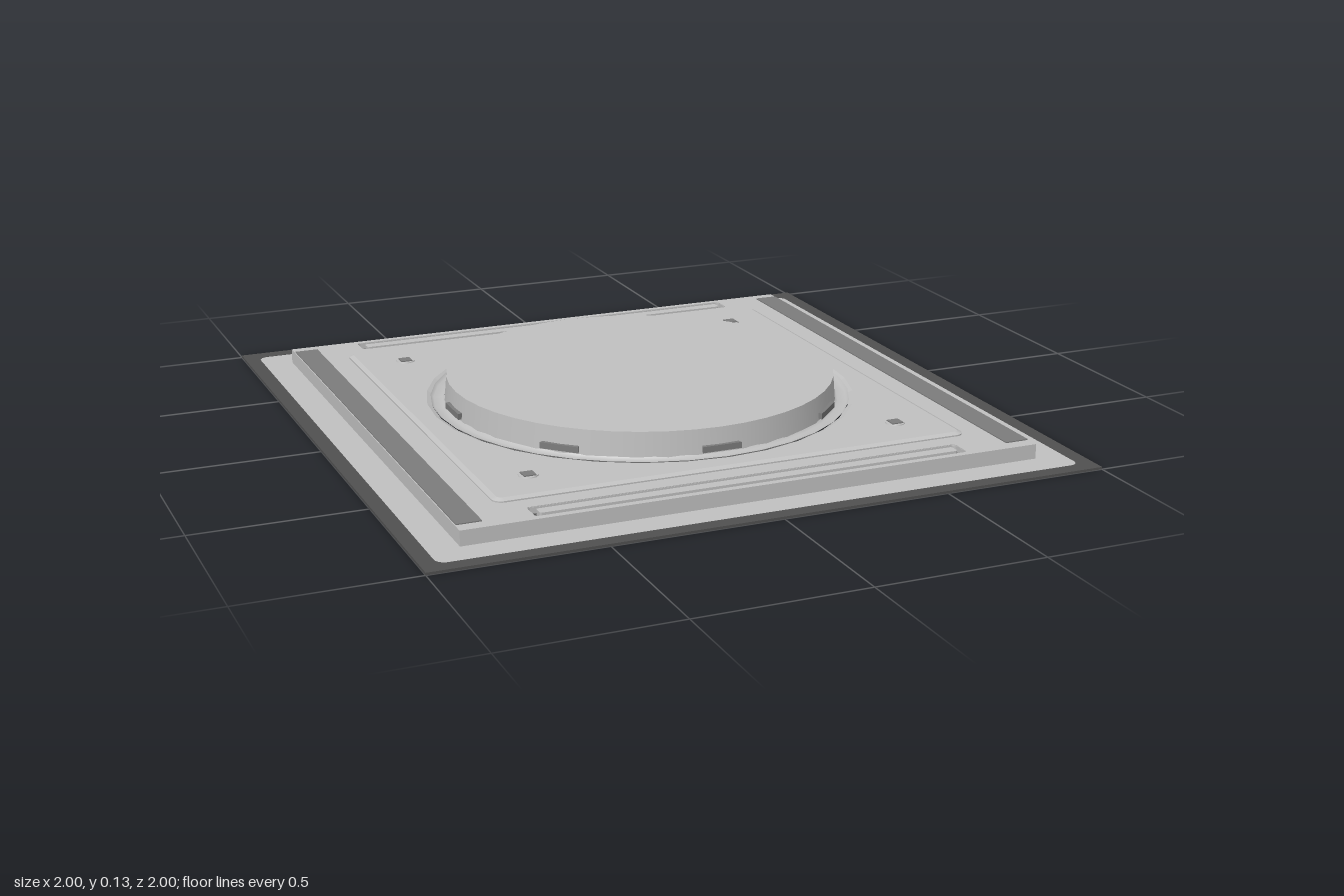
import * as THREE from 'three';

export function createModel() {
  const model = new THREE.Group();
  const mat = (name, color) => new THREE.MeshStandardMaterial({ name, color, side: THREE.DoubleSide });
  const body = mat('light grey metal', 0xc0c0c0);
  const mid = mat('mid grey foam', 0x7c7c7c);
  const dark = mat('dark grey seal', 0x505050);

  const add = (name, geo, material, x = 0, y = 0, z = 0, parent = model) => {
    const mesh = new THREE.Mesh(geo, material);
    mesh.name = name;
    mesh.position.set(x, y, z);
    parent.add(mesh);
    return mesh;
  };
  // Rounded rectangle outline centred on (cx, cy)
  const rect = (w, h, r = 0, cx = 0, cy = 0, Type = THREE.Shape) => {
    const s = new Type(), a = w / 2, b = h / 2;
    if (r === 0) {
      s.moveTo(cx - a, cy - b); s.lineTo(cx + a, cy - b);
      s.lineTo(cx + a, cy + b); s.lineTo(cx - a, cy + b); s.closePath();
      return s;
    }
    s.moveTo(cx - a + r, cy - b);
    s.lineTo(cx + a - r, cy - b);
    s.absarc(cx + a - r, cy - b + r, r, -Math.PI / 2, 0);
    s.absarc(cx + a - r, cy + b - r, r, 0, Math.PI / 2);
    s.absarc(cx - a + r, cy + b - r, r, Math.PI / 2, Math.PI);
    s.absarc(cx - a + r, cy - b + r, r, Math.PI, Math.PI * 1.5);
    return s;
  };
  const circle = r => new THREE.Path().absarc(0, 0, r, 0, Math.PI * 2, true);
  // Horizontal plate with holes, its underside at zero before placing
  const plate = (shape, holes, depth, bevel = {}) => {
    shape.holes.push(...holes);
    return new THREE.ExtrudeGeometry(shape, {
      depth, curveSegments: 16, bevelEnabled: false, ...bevel,
    }).rotateX(-Math.PI / 2);
  };

  // Flange and its dark edge seal
  add('edgeSeal', plate(rect(2, 2), [rect(1.91, 1.91, 0.03, 0, 0, THREE.Path)], 0.007), dark);
  add('flange', plate(rect(1.91, 1.91, 0.03), [rect(1.72, 1.72, 0, 0, 0, THREE.Path)], 0.005), body, 0, 0.001);

  // Hollow square housing
  add('housingWall', plate(rect(1.73, 1.73), [rect(1.718, 1.718, 0, 0, 0, THREE.Path)], 0.048), body, 0, 0.001);
  const slots = [-1, 1].map(s => rect(1.3, 0.07, 0.01, 0, s * 0.81, THREE.Path));
  add('housingRoof', plate(rect(1.73, 1.73), [...slots, circle(0.66)], 0.005), body, 0, 0.045);

  // Raised pan with bevelled edge
  add('raisedPan', plate(rect(1.41, 1.41, 0.015), [circle(0.65)], 0.004, {
    bevelEnabled: true, bevelSize: 0.014, bevelThickness: 0.006, bevelSegments: 1,
  }), body, 0, 0.05);

  for (const s of [-1, 1]) {
    // Foam strips along the sides
    add('foamStrip', new THREE.BoxGeometry(0.072, 0.009, 1.65), mid, s * 0.826, 0.0485, 0);
    // Grooved slots with a raised centre bar
    const slot = new THREE.Group();
    slot.name = 'grooveSlot';
    slot.position.z = s * 0.81;
    model.add(slot);
    const floor = add('grooveFloor', new THREE.PlaneGeometry(1.3, 0.07), dark, 0, 0.03, 0, slot);
    floor.rotation.x = -Math.PI / 2;
    add('grooveWall', plate(rect(1.31, 0.08, 0.012), [rect(1.298, 0.068, 0.01, 0, 0, THREE.Path)], 0.018),
      body, 0, 0.03, 0, slot);
    add('grooveBar', plate(rect(1.26, 0.034, 0.006), [], 0.024), body, 0, 0.026, 0, slot);
    add('grooveUnderside', new THREE.BoxGeometry(1.31, 0.003, 0.08), body, 0, 0.0275, 0, slot);

    // Corner bolts
    for (const t of [-1, 1]) {
      const bolt = new THREE.Group();
      bolt.name = 'cornerBolt';
      bolt.position.set(s * 0.57, 0, t * 0.57);
      model.add(bolt);
      add('boltWasher', new THREE.CylinderGeometry(0.028, 0.035, 0.02, 12), body, 0, 0.053, 0, bolt);
      add('boltHead', new THREE.BoxGeometry(0.036, 0.026, 0.036), mid, 0, 0.053, 0, bolt);
    }
  }

  // Round groove at the foot of the drum
  const groove = [[0.637, 0.058], [0.628, 0.05], [0.602, 0.05], [0.594, 0.058]]
    .map(p => new THREE.Vector2(...p));
  add('drumGroove', new THREE.LatheGeometry(groove, 36), body);

  // Hollow drum with a flat cap
  add('drumWall', new THREE.CylinderGeometry(0.588, 0.595, 0.08, 48, 1, true), body, 0, 0.09);
  add('drumCap', new THREE.CylinderGeometry(0.588, 0.588, 0.004, 48), body, 0, 0.128);

  // Hub cup inside the drum
  const hub = [[0.125, 0.126], [0.125, 0.062], [0.112, 0.062], [0.1, 0.1], [0, 0.1]]
    .map(p => new THREE.Vector2(...p));
  add('hubCup', new THREE.LatheGeometry(hub, 32), body);

  // Eight spokes, each widening to a dark wedge that pierces the drum wall
  const wedge = (r0, w0, r1, w1, h) => {
    const s = new THREE.Shape([[r0, -w0], [r1, -w1], [r1, w1], [r0, w0]]
      .map(([a, b]) => new THREE.Vector2(a, b / 2)));
    return plate(s, [], h);
  };
  const spokeGeo = wedge(0.11, 0.012, 0.45, 0.02, 0.012);
  const wedgeGeo = wedge(0.42, 0.015, 0.602, 0.12, 0.018);
  for (let i = 0; i < 8; i++) {
    const spoke = new THREE.Group();
    spoke.name = 'spoke';
    spoke.rotation.y = i * Math.PI / 4;
    model.add(spoke);
    add('spokeArm', spokeGeo, body, 0, 0.114, 0, spoke).rotation.z = -0.08;
    add('spokeWedge', wedgeGeo, mid, 0, 0.063, 0, spoke);
  }
  return model;
}
